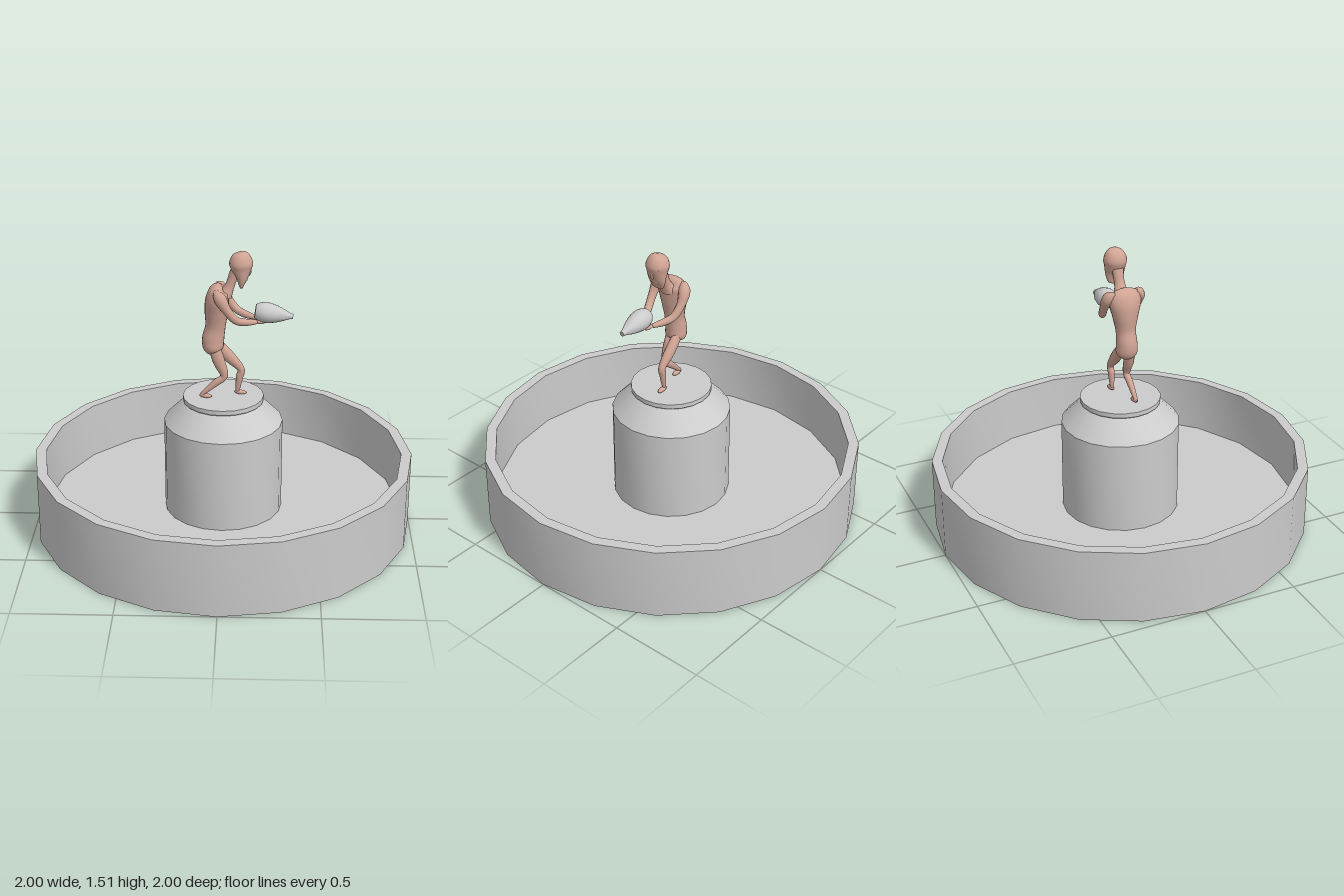
import * as THREE from 'three';
import { toCreasedNormals } from 'three/addons/utils/BufferGeometryUtils.js';

const stone = new THREE.MeshStandardMaterial({ color: 0xcccccc, side: THREE.DoubleSide });
const grey = new THREE.MeshStandardMaterial({ color: 0xcccccc });
const skin = new THREE.MeshStandardMaterial({ color: 0xd0a494 });

function add(group, name, geometry, material) {
  const mesh = new THREE.Mesh(geometry, material);
  mesh.name = name;
  group.add(mesh);
  return mesh;
}

// Smooth skin through oval sections [x, y, z, in-plane radius, sideways radius]
function loft(sections, steps = 24, sides = 16) {
  const path = new THREE.CatmullRomCurve3(
    sections.map(s => new THREE.Vector3(s[0], s[1], s[2])), false, 'catmullrom');
  const radii = new THREE.CatmullRomCurve3(
    sections.map(s => new THREE.Vector3(s[3], s[4], 0)), false, 'catmullrom');
  const pos = [], index = [];
  for (let i = 0; i <= steps; i++) {
    const c = path.getPoint(i / steps), r = radii.getPoint(i / steps);
    const t = path.getTangent(i / steps);
    const side = new THREE.Vector3(0, 0, 1).addScaledVector(t, -t.z).normalize();
    const normal = side.clone().cross(t);
    for (let j = 0; j < sides; j++) {
      const a = j / sides * Math.PI * 2;
      const p = c.clone()
        .addScaledVector(normal, Math.cos(a) * Math.max(r.x, 0.0005))
        .addScaledVector(side, Math.sin(a) * Math.max(r.y, 0.0005));
      pos.push(p.x, p.y, p.z);
      if (i === steps) continue;
      const k = i * sides + j, l = i * sides + (j + 1) % sides;
      index.push(k, l, k + sides, l, l + sides, k + sides);
    }
  }
  const g = new THREE.BufferGeometry();
  g.setAttribute('position', new THREE.Float32BufferAttribute(pos, 3));
  g.setIndex(index);
  g.computeVertexNormals();
  return g;
}

function ellipsoid(group, name, center, size, tilt = 0) {
  const mesh = add(group, name, new THREE.SphereGeometry(1, 14, 10), skin);
  mesh.position.set(...center);
  mesh.scale.set(...size);
  mesh.rotation.z = tilt;
}

function lathe(points, sides) {
  const g = new THREE.LatheGeometry(points.map(p => new THREE.Vector2(...p)), sides);
  return toCreasedNormals(g, 0.5);
}

export function createModel() {
  const model = new THREE.Group();

  // Basin: outer wall, rim, inner wall and a raised floor with a round hole
  add(model, 'basin', lathe([[1, 0], [1, 0.39], [0.945, 0.39], [0.945, 0.085], [0.312, 0.085]], 20), stone);
  // Hollow pedestal with sloped shoulder and top disc
  add(model, 'pedestal', lathe([[0.312, 0.085], [0.312, 0.583], [0.205, 0.692],
    [0.212, 0.698], [0.212, 0.722], [0, 0.722]], 20), stone);

  // Figure facing +x, with its middle plane slightly forward of z = 0
  const figure = new THREE.Group();
  figure.name = 'figure';
  figure.position.z = 0.012;
  model.add(figure);

  add(figure, 'torso', loft([
    [-0.005, 1.325, 0, 0, 0],
    [-0.015, 1.312, 0, 0.045, 0.075],
    [-0.03, 1.26, 0, 0.06, 0.085],
    [-0.035, 1.19, 0, 0.06, 0.068],
    [-0.04, 1.11, 0, 0.052, 0.052],
    [-0.052, 1.04, 0, 0.057, 0.055],
    [-0.05, 0.985, 0, 0.048, 0.052],
    [-0.04, 0.95, 0, 0, 0]], 36, 20), skin);

  add(figure, 'neck', loft([
    [0.01, 1.28, 0, 0.036, 0.045],
    [0.035, 1.335, 0, 0.024, 0.028],
    [0.06, 1.41, 0, 0.026, 0.03]], 10), skin);

  // Head tapering forward and down to the chin
  add(figure, 'head', loft([
    [0.088, 1.513, 0, 0, 0],
    [0.09, 1.497, 0, 0.04, 0.04],
    [0.09, 1.455, 0, 0.06, 0.06],
    [0.092, 1.42, 0, 0.052, 0.056],
    [0.095, 1.385, 0, 0.035, 0.052],
    [0.093, 1.35, 0, 0.019, 0.046],
    [0.091, 1.327, 0, 0.01, 0.032],
    [0.09, 1.318, 0, 0, 0]], 32, 20), skin);
  ellipsoid(figure, 'brow', [0.128, 1.445, 0], [0.017, 0.012, 0.045]);
  ellipsoid(figure, 'nose', [0.131, 1.408, 0], [0.012, 0.026, 0.011], -0.15);
  ellipsoid(figure, 'mouth', [0.113, 1.367, 0], [0.01, 0.013, 0.026], -0.3);

  // Bent arms, mirrored, hands meeting under the gun
  for (const s of [1, -1]) {
    add(figure, 'arm', loft([
      [-0.035, 1.315, s * 0.05, 0.012, 0.02],
      [-0.015, 1.29, s * 0.085, 0.032, 0.03],
      [0.02, 1.23, s * 0.093, 0.024, 0.022],
      [0.065, 1.175, s * 0.083, 0.021, 0.02],
      [0.115, 1.155, s * 0.058, 0.019, 0.018],
      [0.17, 1.147, s * 0.03, 0.011, 0.012]], 24, 12), skin);
    ellipsoid(figure, 'hand', [0.19, 1.146, s * 0.024], [0.028, 0.012, 0.014]);
  }

  // Legs: [hip, knee, ankle] for the trailing and the leading leg
  const legs = [
    { name: 'leftLeg', z: 0.026, hip: [-0.045, 1.0], knee: [0.005, 0.845], ankle: [-0.105, 0.745] },
    { name: 'rightLeg', z: -0.026, hip: [-0.03, 1.0], knee: [0.09, 0.865], ankle: [0.075, 0.745] },
  ];
  for (const { name, z, hip, knee, ankle } of legs) {
    const mix = (a, b, t) => [a[0] + (b[0] - a[0]) * t, a[1] + (b[1] - a[1]) * t, z];
    add(figure, name, loft([
      [...hip, z, 0.03, 0.022],
      [...mix(hip, knee, 0.5), 0.031, 0.026],
      [...knee, z, 0.02, 0.019],
      [...mix(knee, ankle, 0.4), 0.019, 0.017],
      [...ankle, z, 0.011, 0.011],
      [ankle[0] - 0.002, 0.73, z, 0.01, 0.01]], 30, 12), skin);
    ellipsoid(figure, 'foot', [ankle[0] + 0.014, 0.733, z], [0.033, 0.012, 0.014], -0.12);
  }

  // Teardrop gun, held level and pointing forward
  const gun = add(model, 'gun', lathe([[0, 0], [0.034, 0], [0.046, 0.018], [0.053, 0.045], [0.052, 0.075],
    [0.044, 0.11], [0.031, 0.145], [0.019, 0.172], [0.014, 0.185], [0.014, 0.195], [0, 0.195]], 20), grey);
  gun.position.set(0.163, 1.198, 0.017);
  gun.rotation.z = -Math.PI / 2 - 0.15;

  return model;
}
